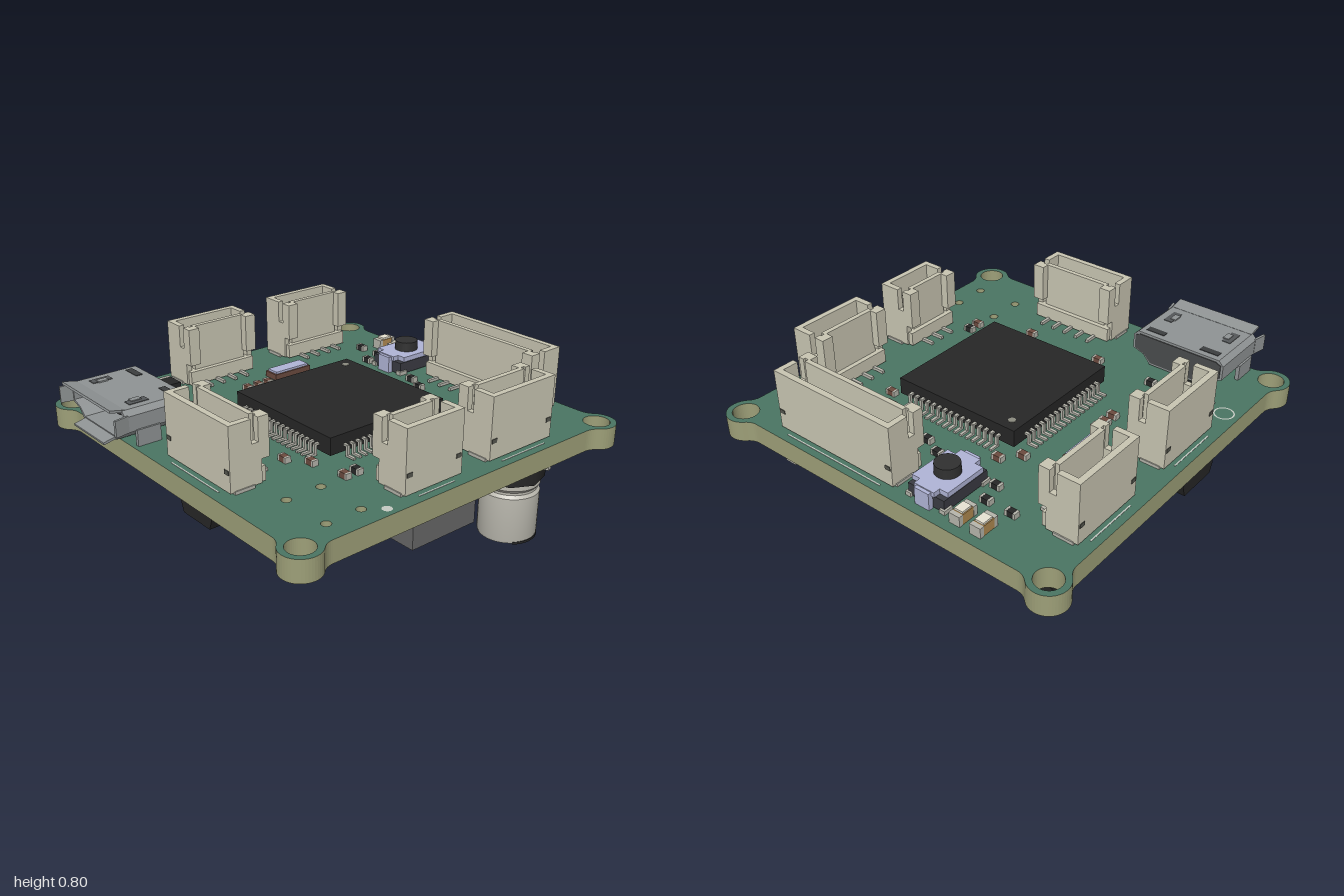
import * as THREE from 'three';
import { toCreasedNormals } from 'three/addons/utils/BufferGeometryUtils.js';

const mats = {};
const mat = (c) => (mats[c] ??= new THREE.MeshStandardMaterial({ color: c, side: THREE.DoubleSide }));
const GREEN = 0x4a7562, EDGE = 0x9d9f78, CREAM = 0xc8c5b2, BLACK = 0x262626, METAL = 0x8f9394,
  PIN = 0xb6b5ab, CAN = 0xbcbab0, LILAC = 0xb0b4d6, SILK = 0xc4c9c2, BROWN = 0x6b4a3e, TAN = 0xb08a50;
const TOP = 0.49, BOT = 0.385, ZC = -0.018;

function add(parent, name, geo, color, x = 0, y = 0, z = 0) {
  const m = new THREE.Mesh(geo, mat(color));
  m.name = name;
  m.position.set(x, y, z);
  parent.add(m);
  return m;
}
const box = (p, name, c, w, h, d, x, y, z) => add(p, name, new THREE.BoxGeometry(w, h, d), c, x, y, z);
// Box given by its limits
const span = (p, name, c, x0, x1, y0, y1, z0, z1) =>
  box(p, name, c, x1 - x0, y1 - y0, z1 - z0, (x0 + x1) / 2, (y0 + y1) / 2, (z0 + z1) / 2);
function group(parent, name, x = 0, y = 0, z = 0, ry = 0) {
  const g = new THREE.Group();
  g.name = name;
  g.position.set(x, y, z);
  g.rotation.y = ry;
  parent.add(g);
  return g;
}
const shapeOf = (pts) => new THREE.Shape(pts.map((p) => new THREE.Vector2(...p)));
const extrude = (shape, depth) => new THREE.ExtrudeGeometry(shape, { depth, bevelEnabled: false, curveSegments: 24 });

// Square board with round mounting ears blended into its edges
function board(root) {
  const half = 0.93, c = 0.89, R = 0.092, f = 0.08;
  const a = half + f - c, b = Math.sqrt((R + f) ** 2 - a * a), t = Math.atan2(b, a);
  const pts = [];
  const arc = (cx, cy, r, a0, a1, n, turn) => {
    for (let i = 0; i <= n; i++) {
      const q = a0 + ((a1 - a0) * i) / n;
      pts.push(new THREE.Vector2(cx + r * Math.cos(q), cy + r * Math.sin(q)).rotateAround(new THREE.Vector2(), turn));
    }
  };
  for (let k = 0; k < 4; k++) {
    const turn = (k * Math.PI) / 2;
    arc(half + f, c - b, f, Math.PI, Math.PI - t, 6, turn);
    arc(c, c, R, -t, Math.PI / 2 + t, 22, turn);
    arc(c - b, half + f, f, t - Math.PI / 2, -Math.PI / 2, 6, turn);
  }
  const shape = new THREE.Shape(pts);
  const hole = (x, z, r) => shape.holes.push(new THREE.Path().absarc(x, ZC - z, r, 0, Math.PI * 2, true));
  for (const x of [-c, c]) for (const z of [-c, c]) hole(x, z + ZC, 0.063);
  for (const x of [0.57, 0.82]) for (const z of [0.51, 0.69]) hole(x, z, 0.022);
  const m = add(root, 'board', extrude(shape, TOP - BOT).rotateX(-Math.PI / 2), GREEN, 0, BOT, ZC);
  m.material = [mat(GREEN), mat(EDGE)];
}

// Open-topped plug socket; length along x, leads leaving towards +z
function socket(root, name, n, x, z, ry) {
  const g = group(root, name, x, TOP, z, ry), L = 0.1 + 0.0755 * n, h = L / 2, pitch = 0.0735;
  span(g, 'socketFloor', CREAM, -h + 0.01, h - 0.01, 0.01, 0.08, -0.095, 0.085);
  span(g, 'outerWall', CREAM, -h, h, 0.01, 0.31, -0.1, -0.07);
  span(g, 'leadWall', CREAM, -h + 0.05, h - 0.05, 0.01, 0.31, 0.035, 0.06);
  const end = shapeOf([[0.1, 0.01], [-0.06, 0.01], [-0.06, 0.12], [-0.1, 0.12], [-0.1, 0.31], [-0.045, 0.31],
    [-0.045, 0.2], [-0.01, 0.2], [-0.01, 0.31], [0.1, 0.31]]);
  for (const s of [-1, 1]) {
    add(g, 'endWall', extrude(end, 0.03).rotateY(Math.PI / 2), CREAM, s * (h - 0.015) - 0.015, 0, 0);
    box(g, 'cornerPost', CREAM, 0.05, 0.19, 0.045, s * (h - 0.035), 0.215, 0.0775);
    box(g, 'solderTab', PIN, 0.035, 0.015, 0.1, s * (h - 0.012), 0.008, -0.03);
    box(g, 'tabSlot', 0x55564e, 0.03, 0.02, 0.006, s * (h - 0.022), 0.1, -0.1);
  }
  for (let i = 0; i < n; i++) {
    const px = (i - (n - 1) / 2) * pitch;
    box(g, 'contact', 0x6a675c, 0.016, 0.16, 0.025, px, 0.15, -0.03);
    box(g, 'lead', PIN, 0.016, 0.015, 0.1, px, 0.012, 0.1);
  }
  span(g, 'printedLine', SILK, -h + 0.06, h - 0.06, 0, 0.002, -0.122, -0.115);
}

// Square chip with gull-wing leads on all four sides
function processor(root) {
  const g = group(root, 'processor', 0.065, TOP, -0.02);
  box(g, 'chipBody', BLACK, 0.69, 0.085, 0.69, 0, 0.065, 0);
  add(g, 'pinOneDot', new THREE.CylinderGeometry(0.018, 0.018, 0.003, 16), 0x8b8b80, -0.285, 0.108, -0.285);
  for (let k = 0; k < 4; k++) {
    const s = group(g, 'leadRow', 0, 0, 0, (k * Math.PI) / 2);
    for (let i = 0; i < 16; i++) {
      const x = (i - 7.5) * 0.0352;
      box(s, 'lead', PIN, 0.015, 0.01, 0.045, x, 0.008, 0.39);
      box(s, 'lead', PIN, 0.015, 0.055, 0.012, x, 0.03, 0.366);
      box(s, 'lead', PIN, 0.015, 0.01, 0.03, x, 0.055, 0.352);
    }
  }
}

// Small usb-style port: hollow shell with flared lips and a tongue
function port(root) {
  const g = group(root, 'port', -0.505, TOP, 0);
  const outline = (d) => [[-0.15 + d / 2, 0.01 + d], [0.15 - d / 2, 0.01 + d], [0.19 - d / 2, 0.055 + d / 2], [0.25 - d, 0.075 + d / 2],
    [0.25 - d, 0.15], [0.225 - d, 0.175 - d], [-0.225 + d, 0.175 - d], [-0.25 + d, 0.15], [-0.25 + d, 0.075 + d / 2],
    [-0.19 + d / 2, 0.055 + d / 2]];
  const ring = shapeOf(outline(0));
  ring.holes.push(new THREE.Path(outline(0.016).map((p) => new THREE.Vector2(...p))));
  add(g, 'shell', extrude(ring, 0.33), METAL, 0, 0, 0.61);
  add(g, 'backPlate', extrude(shapeOf(outline(0.012)), 0.1), 0x4a4c4d, 0, 0, 0.605);
  box(g, 'tongue', 0x3a3a3a, 0.26, 0.025, 0.2, 0, 0.125, 0.8);
  box(g, 'tongueContacts', 0xa79e80, 0.22, 0.008, 0.18, 0, 0.142, 0.81);
  const lip = (w, h, x, y, rx, ry) => box(g, 'lip', METAL, w, h, 0.075, x, y, 0.962).rotation.set(rx, ry, 0);
  lip(0.45, 0.012, 0, 0.178, -0.2, 0);
  lip(0.28, 0.012, 0, 0.01, 0.2, 0);
  for (const s of [-1, 1]) {
    lip(0.012, 0.08, s * 0.253, 0.115, 0, s * 0.2);
    box(g, 'latchSlot', 0x55585a, 0.045, 0.004, 0.1, s * 0.165, 0.176, 0.83);
    box(g, 'latchSpring', METAL, 0.03, 0.008, 0.05, s * 0.15, 0.178, 0.83);
    box(g, 'rearSlot', 0x3c3e3f, 0.1, 0.004, 0.035, s * 0.15, 0.176, 0.66);
    box(g, 'mountLeg', METAL, 0.02, 0.08, 0.12, s * 0.25, 0.04, 0.83);
  }
}

// Push button with a metal cover
function button(root) {
  const g = group(root, 'button', -0.23, TOP, -0.74);
  box(g, 'buttonBase', 0x3a3b42, 0.2, 0.06, 0.27, 0, 0.035, 0);
  box(g, 'buttonCover', LILAC, 0.2, 0.025, 0.22, 0, 0.08, 0);
  box(g, 'buttonCover', LILAC, 0.11, 0.025, 0.29, 0, 0.08, 0);
  for (const s of [-1, 1]) {
    box(g, 'coverTab', LILAC, 0.08, 0.085, 0.025, 0, 0.045, s * 0.15);
    for (const t of [-1, 1]) box(g, 'buttonFoot', PIN, 0.03, 0.02, 0.05, s * 0.095, 0.012, t * 0.12);
  }
  add(g, 'plunger', new THREE.CylinderGeometry(0.058, 0.06, 0.05, 32), 0x303030, 0, 0.115, 0);
}

// Two-terminal part lying on either face of the board
function smallPart(root, x, z, color, alongZ = false, up = true, w = 0.055, d = 0.032, h = 0.028) {
  const g = group(root, 'smallPart', x, up ? TOP + h / 2 : BOT - h / 2, z, alongZ ? Math.PI / 2 : 0);
  box(g, 'partBody', color, w * 0.6, h, d, 0, 0, 0);
  for (const s of [-1, 1]) box(g, 'partEnd', PIN, w * 0.2, h * 1.04, d * 1.04, s * w * 0.4, 0, 0);
}

// Can capacitor hanging below the board, with a dark polarity mark
function canCapacitor(root, x, z, turn) {
  const g = group(root, 'canCapacitor', x, 0, z, turn), r = 0.14;
  const prof = [[0, 0], [r - 0.015, 0], [r - 0.004, 0.005], [r, 0.018], [r, 0.235], [r - 0.012, 0.25], [r - 0.012, 0.262],
    [r, 0.277], [r, 0.31], [0, 0.31]].map((p) => new THREE.Vector2(...p));
  add(g, 'can', toCreasedNormals(new THREE.LatheGeometry(prof, 40), 0.6), CAN);
  add(g, 'canBase', new THREE.CylinderGeometry(0.157, 0.157, 0.065, 8).rotateY(Math.PI / 8), BLACK, 0, 0.335, 0);
  const mark = new THREE.Shape().absarc(0, 0, r + 0.001, -0.95, 0.95, false);
  add(g, 'polarityMark', extrude(mark, 0.012).rotateX(-Math.PI / 2), BLACK, 0, 0.001, 0);
  for (const s of [-1, 1]) box(g, 'canLead', PIN, 0.05, 0.015, 0.03, s * 0.16, 0.377, 0);
}

// Tapered power diode, long along z, bent tabs at both x sides
function diode(root, x, z, ry, w) {
  const g = group(root, 'diode', x, 0, z, ry), k = w / 2;
  const side = shapeOf([[-k + 0.02, 0.265], [k - 0.02, 0.265], [k, 0.32], [k - 0.01, 0.372], [-k + 0.01, 0.372], [-k, 0.32]]);
  add(g, 'diodeBody', extrude(side, 0.45), BLACK, 0, 0, -0.225);
  for (const s of [-1, 1]) {
    const tab = shapeOf([[k - 0.01, 0.31], [k + 0.035, 0.31], [k + 0.05, 0.365], [k + 0.085, 0.37], [k + 0.085, 0.385],
      [k + 0.035, 0.38], [k + 0.022, 0.325], [k - 0.01, 0.325]].map(([a, b]) => [s * a, b]));
    add(g, 'diodeTab', extrude(tab, 0.15), PIN, 0, 0, -0.075);
  }
}

// Flat chip under the board with leads along its two x sides
function chip(root, x, z, w, d, h, n) {
  const g = group(root, 'lowerChip', x, BOT, z);
  box(g, 'chipBody', BLACK, w, h, d, 0, -0.012 - h / 2, 0);
  for (const s of [-1, 1]) for (let i = 0; i < n; i++) {
    const pz = ((i + 0.5) / n - 0.5) * d * 0.95;
    box(g, 'lead', PIN, 0.04, 0.01, 0.018, s * (w / 2 + 0.03), -0.006, pz);
    box(g, 'lead', PIN, 0.02, 0.035, 0.018, s * (w / 2 + 0.008), -0.022, pz);
  }
}

export function createModel() {
  const root = new THREE.Group();
  root.name = 'circuitBoard';
  board(root);

  // Upper face
  const Q = Math.PI / 2;
  socket(root, 'backSocket', 8, 0.3, -0.79, 0);
  socket(root, 'frontSocket', 5, 0.165, 0.745, Math.PI);
  socket(root, 'rightBackSocket', 4, -0.77, -0.495, Q);
  socket(root, 'rightFrontSocket', 4, -0.77, 0.13, Q);
  socket(root, 'leftBackSocket', 4, 0.77, -0.385, -Q);
  socket(root, 'leftFrontSocket', 3, 0.77, 0.155, -Q);
  processor(root);
  port(root);
  button(root);
  for (const x of [-0.515, -0.405]) {
    smallPart(root, x, -0.845, TAN, true, true, 0.11, 0.055, 0.05);
    box(root, 'lampLens', 0xe6e2d2, 0.045, 0.02, 0.055, x, 0.54, -0.845);
  }
  box(root, 'oscillatorBase', BROWN, 0.085, 0.03, 0.225, -0.53, 0.505, -0.175);
  box(root, 'oscillatorLid', LILAC, 0.07, 0.012, 0.205, -0.53, 0.525, -0.175);
  box(root, 'smallDiode', BLACK, 0.115, 0.07, 0.08, -0.67, 0.535, 0.47);
  box(root, 'smallDiodeBand', PIN, 0.018, 0.072, 0.081, -0.715, 0.535, 0.47);
  for (const s of [-1, 1]) box(root, 'smallDiodeLead', PIN, 0.03, 0.02, 0.04, -0.67 + s * 0.068, 0.5, 0.47);
  for (const [x, z] of [[-0.55, -0.71], [-0.415, -0.71], [-0.385, -0.61], [-0.035, -0.595], [0.065, -0.55],
    [0.57, 0.315], [-0.525, 0.47], [-0.455, 0.47]]) smallPart(root, x, z, BLACK);
  for (const [x, z] of [[-0.265, -0.455], [-0.34, -0.375], [0.39, -0.455], [0.46, -0.375], [-0.47, 0], [-0.47, 0.06],
    [-0.47, 0.125], [0.385, 0.41], [0.57, 0.38], [0.285, 0.48], [-0.135, 0.48]]) smallPart(root, x, z, BROWN);

  // Printed marks
  add(root, 'printedRing', new THREE.RingGeometry(0.043, 0.05, 32).rotateX(-Q), SILK, -0.855, 0.4915, 0.475);
  add(root, 'printedDot', new THREE.CircleGeometry(0.023, 24).rotateX(-Q), SILK, 0.885, 0.4915, 0.43);
  for (const s of [-1, 1]) box(root, 'printedLine', SILK, 0.19, 0.002, 0.007, -0.68, TOP + 0.001, 0.47 + s * 0.058);
  box(root, 'printedLine', SILK, 0.007, 0.002, 0.12, -0.775, TOP + 0.001, 0.47);

  // Lower face
  canCapacitor(root, 0.75, -0.48, 0.3);
  canCapacitor(root, 0.265, -0.37, Math.PI);
  canCapacitor(root, 0.24, -0.02, Math.PI);
  canCapacitor(root, -0.145, -0.3, Math.PI);
  span(root, 'inductor', 0x666666, 0.5, 0.87, 0.228, 0.372, -0.11, 0.265);
  for (const z of [-0.06, 0.215]) span(root, 'inductorPad', PIN, 0.53, 0.84, 0.37, 0.386, z - 0.03, z + 0.03);
  diode(root, 0.14, 0.625, 0, 0.24);
  diode(root, -0.675, 0.2, Q, 0.26);
  chip(root, -0.69, -0.47, 0.34, 0.75, 0.07, 14);
  chip(root, 0.35, -0.76, 0.18, 0.2, 0.05, 4);
  chip(root, 0.08, -0.7, 0.16, 0.18, 0.045, 3);
  box(root, 'lowerSensor', 0x85795a, 0.2, 0.035, 0.16, -0.26, 0.367, -0.62);
  for (const [x, z] of [[0.6, -0.86], [0.7, -0.8]]) smallPart(root, x, z, LILAC, true, false, 0.1, 0.06, 0.055);
  for (const [x, z] of [[-0.56, 0.63], [-0.5, 0.7], [-0.62, 0.7], [-0.35, 0.55], [-0.35, 0.1], [-0.28, 0.3], [-0.2, 0.1],
    [-0.82, -0.02], [0.5, -0.62], [-0.05, -0.85], [0.45, 0.4], [-0.4, -0.8]]) smallPart(root, x, z, BROWN, false, false);
  for (const [x, z] of [[-0.77, 0.62], [0.75, 0.68]])
    add(root, 'printedRing', new THREE.RingGeometry(0.043, 0.05, 32).rotateX(Q), SILK, x, BOT - 0.0015, z);
  return root;
}
